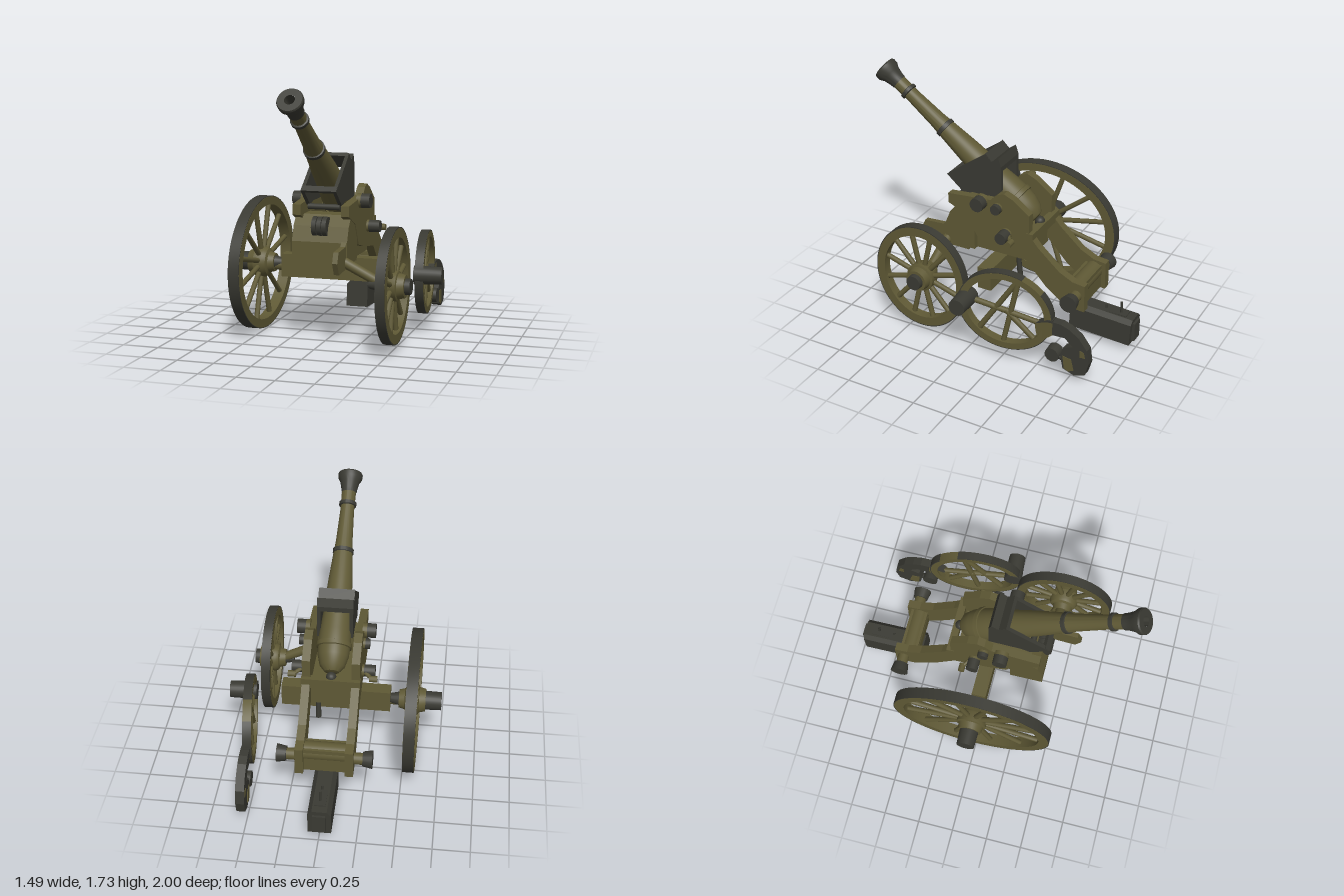
import * as THREE from 'three';
import { toCreasedNormals } from 'three/addons/utils/BufferGeometryUtils.js';

const olive = new THREE.MeshStandardMaterial({ color: 0x5f5935 });
olive.name = 'olive paint';
const dark = new THREE.MeshStandardMaterial({ color: 0x3a3a33 });
dark.name = 'dark iron';

function add(parent, name, geo, mat) {
  const m = new THREE.Mesh(geo, mat);
  m.name = name;
  parent.add(m);
  return m;
}

// Plate with a (z, y) outline, spanning x0..x1
function plate(parent, name, pts, x0, x1, mat) {
  const shape = new THREE.Shape(pts.map(([z, y]) => new THREE.Vector2(-z, y)));
  const geo = new THREE.ExtrudeGeometry(shape, { depth: x1 - x0, bevelEnabled: false });
  geo.rotateY(Math.PI / 2).translate(x0, 0, 0);
  return add(parent, name, geo, mat);
}

function box(parent, name, x0, x1, y0, y1, z0, z1, mat) {
  const geo = new THREE.BoxGeometry(x1 - x0, y1 - y0, z1 - z0);
  geo.translate((x0 + x1) / 2, (y0 + y1) / 2, (z0 + z1) / 2);
  return add(parent, name, geo, mat);
}

// Round bar between two points
function rod(parent, name, a, b, r0, r1, mat, sides = 20) {
  const p = new THREE.Vector3(...a), q = new THREE.Vector3(...b);
  const m = add(parent, name, new THREE.CylinderGeometry(r1, r0, p.distanceTo(q), sides), mat);
  m.position.copy(p).add(q).multiplyScalar(0.5);
  m.quaternion.setFromUnitVectors(new THREE.Vector3(0, 1, 0), q.sub(p).normalize());
  return m;
}

const lathe = (pts, seg = 48, start = 0, length = Math.PI * 2) => toCreasedNormals(
  new THREE.LatheGeometry(pts.map(p => new THREE.Vector2(...p)), seg, start, length), 0.6);

const band = (ri, ro, w, start, length) => lathe(
  [[ri, -w / 2], [ro, -w / 2], [ro, w / 2], [ri, w / 2], [ri, -w / 2]], 64, start, length).rotateZ(Math.PI / 2);

// Oval rim: olive felloe inside a thin dark tyre, which may have a gap
function rim(parent, rz, ry, w, thick, tyreStart, tyreLength) {
  const g = new THREE.Group();
  g.name = 'rim';
  add(g, 'felloe', band(rz - thick, rz - 0.006, w), olive);
  add(g, 'tyre', band(rz - 0.008, rz, w * 0.98, tyreStart, tyreLength), dark);
  g.scale.y = ry / rz;
  parent.add(g);
}

// Whole wheel; s = outward direction along x
function wheel(parent, name, pos, s, rz, ry, w, thick, hubR, capR, capEnd) {
  const g = new THREE.Group();
  g.name = name;
  g.position.set(...pos);
  rim(g, rz, ry, w, thick);
  for (let i = 0; i < 12; i++) {
    const a = (i + 0.5) / 12 * Math.PI * 2, c = Math.cos(a), n = Math.sin(a);
    rod(g, 'spoke', [0, n * 0.05, c * 0.05],
      [0, n * (ry - thick * 0.6), c * (rz - thick * 0.6)], 0.018, 0.018, olive, 10);
  }
  const hub = add(g, 'hub', lathe([[0, -0.1], [hubR * 0.6, -0.1], [hubR * 0.7, -0.06], [hubR * 0.9, -0.05],
    [hubR, -0.03], [hubR, 0.035], [hubR * 0.85, 0.04], [hubR * 0.75, 0.085], [0, 0.085]], 32), olive);
  hub.rotation.z = -s * Math.PI / 2;
  rod(g, 'hubCap', [s * 0.07, 0, 0], [s * capEnd, 0, 0], capR, capR * 0.95, dark, 28);
  rod(g, 'innerCollar', [-s * 0.16, 0, 0], [-s * 0.09, 0, 0], capR * 0.5, capR * 0.75, dark);
  parent.add(g);
}

export function createModel() {
  const model = new THREE.Group();
  model.name = 'fieldCannon';

  // Barrel, raised 36 degrees; its local y runs along the bore, muzzle at 0
  const gun = new THREE.Group();
  gun.name = 'gun';
  gun.position.set(0, 1.667, 0.957);
  gun.rotation.x = THREE.MathUtils.degToRad(54);
  model.add(gun);
  add(gun, 'barrel', lathe([[0, -1.47], [0.05, -1.46], [0.085, -1.42], [0.105, -1.35], [0.112, -1.26],
    [0.108, -1.18], [0.096, -1.05], [0.084, -0.82], [0.066, -0.6], [0.058, -0.52], [0.048, -0.28], [0.05, -0.14]]), olive);
  add(gun, 'muzzle', lathe([[0.054, -0.15], [0.056, -0.12], [0.067, -0.07], [0.084, -0.04], [0.086, -0.01],
    [0.08, 0], [0.034, 0]]), dark);
  add(gun, 'bore', lathe([[0.034, 0], [0.03, -0.1], [0, -0.35]], 24), dark);
  for (const [t, r, h] of [[0.235, 0.06, 0.035], [0.59, 0.072, 0.04]])
    add(gun, 'barrelRing', lathe([[r - 0.02, -t - h / 2], [r, -t - h / 3], [r, -t + h / 3], [r - 0.02, -t + h / 2]]), dark);
  add(gun, 'breechRing', lathe([[0.09, -1.3], [0.12, -1.29], [0.12, -1.26], [0.09, -1.25]]), olive);
  add(gun, 'breechKnob', new THREE.SphereGeometry(0.035, 20, 14), dark).position.y = -1.495;

  // Dark gun guard: two side plates tied by bars
  const guard = new THREE.Group();
  guard.name = 'gunGuard';
  model.add(guard);
  const guardSide = [[0.4, 1.04], [0.1, 1.26], [0.05, 1.21], [0.0, 1.25], [-0.02, 1.19],
    [-0.02, 0.95], [0.2, 0.95], [0.27, 0.93]];
  for (const s of [-1, 1]) plate(guard, 'guardSide', guardSide, s * 0.11 - 0.012, s * 0.11 + 0.012, dark);
  plate(guard, 'guardTop', [[0.12, 1.245], [0.1, 1.265], [0.05, 1.215], [0.0, 1.25], [-0.02, 1.19],
    [-0.02, 1.155], [0.0, 1.155], [0.06, 1.185]], -0.12, 0.12, dark);
  plate(guard, 'guardFrontBar', [[0.4, 1.04], [0.37, 1.07], [0.35, 1.05], [0.38, 1.025]], -0.12, 0.12, dark);
  rod(guard, 'cradleBar', [-0.11, 0.92, 0.27], [0.11, 0.92, 0.27], 0.02, 0.02, dark);

  // Carriage cheeks sweeping down into the trail
  const cheek = [[0.35, 0.94], [0.02, 0.97], [-0.03, 1.02], [-0.08, 1.04], [-0.15, 1.01], [-0.27, 0.92],
    [-0.27, 0.78], [-0.34, 0.7], [-0.5, 0.56], [-0.6, 0.51], [-0.69, 0.5], [-0.69, 0.3], [-0.55, 0.31],
    [-0.4, 0.42], [-0.25, 0.58], [0, 0.62], [0.12, 0.65], [0.2, 0.8], [0.35, 0.87]];
  for (const s of [-1, 1]) {
    plate(model, 'carriageCheek', cheek, s * 0.167 - 0.028, s * 0.167 + 0.028, olive);
    // Pins and bolts through the cheek
    for (const [z, y, r, end] of [[0.09, 0.945, 0.05, 0.27], [-0.035, 0.925, 0.037, 0.24], [-0.1, 0.745, 0.042, 0.285]]) {
      rod(model, 'pinCollar', [s * 0.18, y, z], [s * 0.212, y, z], r * 1.02, r * 0.98, olive);
      rod(model, 'pinCap', [s * 0.21, y, z], [s * end, y, z], r, r * 0.98, dark);
    }
    rod(model, 'sideHandle', [s * 0.18, 0.76, -0.1], [s * 0.27, 0.73, -0.17], 0.014, 0.014, olive, 10);
    rod(model, 'handleGrip', [s * 0.25, 0.73, -0.17], [s * 0.305, 0.73, -0.17], 0.022, 0.022, olive, 12);
    // Trail spindle ends
    rod(model, 'spindleCollar', [s * 0.18, 0.415, -0.63], [s * 0.265, 0.415, -0.63], 0.04, 0.04, olive);
    rod(model, 'spindleEnd', [s * 0.255, 0.415, -0.63], [s * 0.32, 0.415, -0.63], 0.05, 0.062, dark);
  }
  plate(model, 'frontPanel', [[0.28, 0.87], [0.34, 0.8], [0.38, 0.7], [0.38, 0.56], [0.15, 0.55], [0.15, 0.87]], -0.19, 0.19, olive);
  box(model, 'carriageBed', -0.15, 0.15, 0.55, 0.72, -0.24, 0.2, olive);
  box(model, 'rearTransom', -0.2, 0.2, 0.72, 0.79, -0.3, -0.25, olive);
  box(model, 'trailTransom', -0.15, 0.15, 0.31, 0.48, -0.66, -0.54, olive);
  rod(model, 'trailRoller', [-0.15, 0.43, -0.6], [0.15, 0.43, -0.6], 0.065, 0.065, olive);
  for (const x of [-0.035, 0, 0.035])
    rod(model, 'frontCoil', [x - 0.015, 0.8, 0.34], [x + 0.015, 0.8, 0.34], 0.065, 0.065, dark);
  rod(model, 'hangingHook', [0.1, 0.36, -0.16], [0.1, 0.58, -0.14], 0.02, 0.015, dark, 10);

  // Main axle beam, and the bent front bracket with its slanting arm
  box(model, 'axleBeam', -0.39, 0.37, 0.38, 0.54, -0.075, 0.025, olive);
  rod(model, 'axle', [-0.5, 0.45, -0.025], [-0.35, 0.45, -0.025], 0.035, 0.035, olive);
  plate(model, 'frontBracket', [[0.3, 0.8], [0.4, 0.68], [0.55, 0.67], [0.58, 0.6], [0.54, 0.52],
    [0.4, 0.53], [0.2, 0.53], [0.15, 0.65]], 0.15, 0.185, olive);
  rod(model, 'frontArm', [0.16, 0.58, 0.375], [0.44, 0.44, 0.375], 0.035, 0.032, olive);

  // Complete wheels
  wheel(model, 'largeWheel', [-0.55, 0.467, -0.03], -1, 0.56, 0.462, 0.078, 0.075, 0.105, 0.066, 0.195);
  wheel(model, 'smallWheel', [0.503, 0.44, 0.382], 1, 0.347, 0.385, 0.065, 0.062, 0.1, 0.055, 0.12);

  // Broken wheel: squashed ring with loose spokes, leaning outward at the front, tyre partly missing
  const broken = new THREE.Group();
  broken.name = 'brokenWheel';
  broken.position.set(0.557, 0.41, -0.295);
  broken.rotation.y = 0.1;
  model.add(broken);
  rim(broken, 0.335, 0.29, 0.06, 0.055, THREE.MathUtils.degToRad(140), THREE.MathUtils.degToRad(332));
  for (const [z0, y0, z1, y1] of [[0.27, 0.03, -0.29, -0.05], [0.2, -0.2, -0.09, 0.25],
    [-0.09, 0.25, 0.02, -0.26], [0.0, 0.0, -0.21, -0.19]])
    rod(broken, 'looseSpoke', [0, y0, z0], [0, y1, z1], 0.02, 0.018, olive, 10);
  rod(model, 'brokenHub', [0.55, 0.44, -0.015], [0.74, 0.44, -0.025], 0.066, 0.058, dark, 28);

  // Torn rim piece behind it
  plate(model, 'tornRimFront', [[-0.51, 0.36], [-0.58, 0.41], [-0.64, 0.418], [-0.64, 0.32],
    [-0.58, 0.27], [-0.55, 0.24], [-0.52, 0.3]], 0.51, 0.56, olive);
  plate(model, 'tornRimTyre', [[-0.52, 0.38], [-0.6, 0.425], [-0.64, 0.43], [-0.64, 0.415], [-0.6, 0.41]], 0.506, 0.564, dark);
  plate(model, 'tornRimRear', [[-0.64, 0.425], [-0.7, 0.425], [-0.76, 0.405], [-0.83, 0.36], [-0.89, 0.28],
    [-0.905, 0.18], [-0.88, 0.09], [-0.8, 0.06], [-0.72, 0.09], [-0.7, 0.19], [-0.72, 0.25], [-0.79, 0.28],
    [-0.73, 0.33], [-0.64, 0.325]], 0.505, 0.565, dark);
  for (const s of [0.501, 0.564]) {
    plate(model, 'barePatch', [[-0.72, 0.19], [-0.78, 0.18], [-0.8, 0.1], [-0.76, 0.08], [-0.73, 0.1]], s, s + 0.005, olive);
    plate(model, 'barePatch', [[-0.84, 0.27], [-0.87, 0.26], [-0.88, 0.22], [-0.84, 0.22]], s, s + 0.005, olive);
  }
  rod(model, 'tornRimKnob', [0.5, 0.17, -0.64], [0.57, 0.17, -0.64], 0.055, 0.05, dark);
  rod(model, 'tornRimStem', [0.535, 0.17, -0.64], [0.535, 0.14, -0.74], 0.02, 0.02, dark, 10);

  // Chest lying under the trail, with chamfered lid
  const chest = new THREE.Group();
  chest.name = 'chest';
  model.add(chest);
  const end = [[-0.078, 0], [0.078, 0], [0.078, 0.16], [0.05, 0.19], [-0.05, 0.19], [-0.078, 0.16]];
  const chestGeo = new THREE.ExtrudeGeometry(new THREE.Shape(end.map(p => new THREE.Vector2(...p))),
    { depth: 0.45, bevelEnabled: false });
  const body = add(chest, 'chestBody', chestGeo, dark);
  body.position.set(-0.004, 0.05, -0.975);
  body.rotation.x = -0.05;
  box(chest, 'chestEndPlate', -0.045, 0.04, 0.075, 0.21, -1.0, -0.97, dark);
  box(chest, 'lidStrip', -0.04, 0.035, 0.235, 0.25, -0.93, -0.7, dark);
  for (const z of [-0.88, -0.77]) rod(chest, 'lidPin', [0, 0.23, z], [0, z < -0.8 ? 0.33 : 0.28, z], 0.009, 0.009, dark, 8);
  return model;
}
